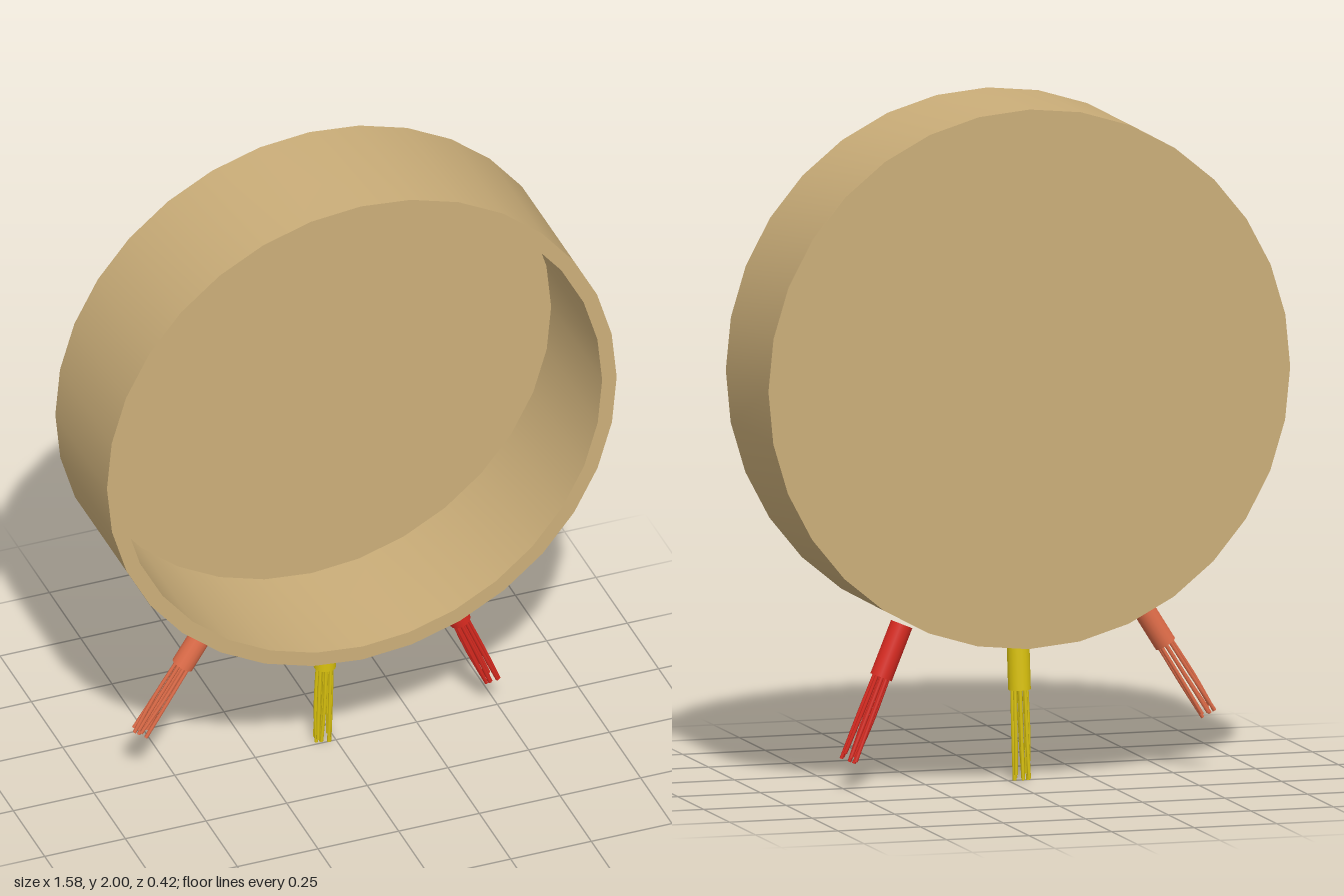
import * as THREE from 'three';
import { toCreasedNormals } from 'three/addons/utils/BufferGeometryUtils.js';

const material = (name, color) => {
  const m = new THREE.MeshStandardMaterial({ color });
  m.name = name;
  return m;
};

export function createModel() {
  const model = new THREE.Group();
  model.name = 'openDrumWithWires';

  const tan = material('tan', 0xcbae79);
  const red = material('red', 0xda2a20);
  const yellow = material('yellow', 0xdcc40e);
  const coral = material('coral', 0xdf6c48);

  const add = (parent, name, geometry, mat) => {
    const mesh = new THREE.Mesh(geometry, mat);
    mesh.name = name;
    parent.add(mesh);
    return mesh;
  };

  // Shallow drum, open at the front and leaning back very slightly
  const R = 0.79, inner = 0.745, depth = 0.412, floor = 0.005;
  const drum = new THREE.Group();
  drum.name = 'drum';
  drum.position.y = 1.21;
  drum.rotation.x = -0.008;
  model.add(drum);

  const ring = new THREE.Shape().absarc(0, 0, R, 0, Math.PI * 2, false);
  ring.holes.push(new THREE.Path().absarc(0, 0, inner, 0, Math.PI * 2, true));
  const wall = new THREE.ExtrudeGeometry(ring, {
    depth: depth - floor, bevelEnabled: false, curveSegments: 16,
  });
  wall.translate(0, 0, -depth / 2 + floor);
  add(drum, 'drumWall', toCreasedNormals(wall, Math.PI / 5), tan);

  const back = new THREE.CylinderGeometry(R, R, floor, 32);
  back.rotateX(Math.PI / 2).translate(0, 0, -depth / 2 + floor / 2);
  add(drum, 'drumBack', back, tan);

  // Insulated wire: a sleeve with bare strands fraying from its lower end
  const up = new THREE.Vector3(0, 1, 0);
  function wire(name, mat, top, tip, sleeve) {
    const a = new THREE.Vector3(...top), b = new THREE.Vector3(...tip);
    const group = new THREE.Group();
    group.name = name;
    group.position.copy(a);
    group.quaternion.setFromUnitVectors(up, a.clone().sub(b).normalize());
    model.add(group);

    const length = a.distanceTo(b), r = 0.033;
    const tube = new THREE.CylinderGeometry(r, r, sleeve, 16);
    add(group, name + 'Sleeve', tube.translate(0, -sleeve / 2, 0), mat);

    for (let i = 0; i < 9; i++) {
      const angle = i * Math.PI / 4 + 0.2;
      const spread = i === 8 ? 0 : 0.021;
      const x = Math.cos(angle) * spread, z = Math.sin(angle) * spread;
      const end = -length + 0.012 * ((i * 5) % 4) / 2;
      const path = new THREE.CatmullRomCurve3([
        new THREE.Vector3(x, -sleeve + 0.01, z),
        new THREE.Vector3(x * 1.08, (end - sleeve) / 2, z * 1.08),
        new THREE.Vector3(x + 0.004 * Math.sin(i * 2.1), end, z + 0.004 * Math.cos(i * 1.7)),
      ]);
      add(group, name + 'Strand', new THREE.TubeGeometry(path, 6, 0.0055, 6), mat);
    }
  }
  wire('redWire', red, [0.322, 0.477, 0], [0.487, 0.085, -0.012], 0.165);
  wire('yellowWire', yellow, [-0.03, 0.42, 0], [-0.04, 0.005, -0.01], 0.15);
  wire('coralWire', coral, [-0.393, 0.515, 0], [-0.608, 0.172, -0.005], 0.155);

  return model;
}
